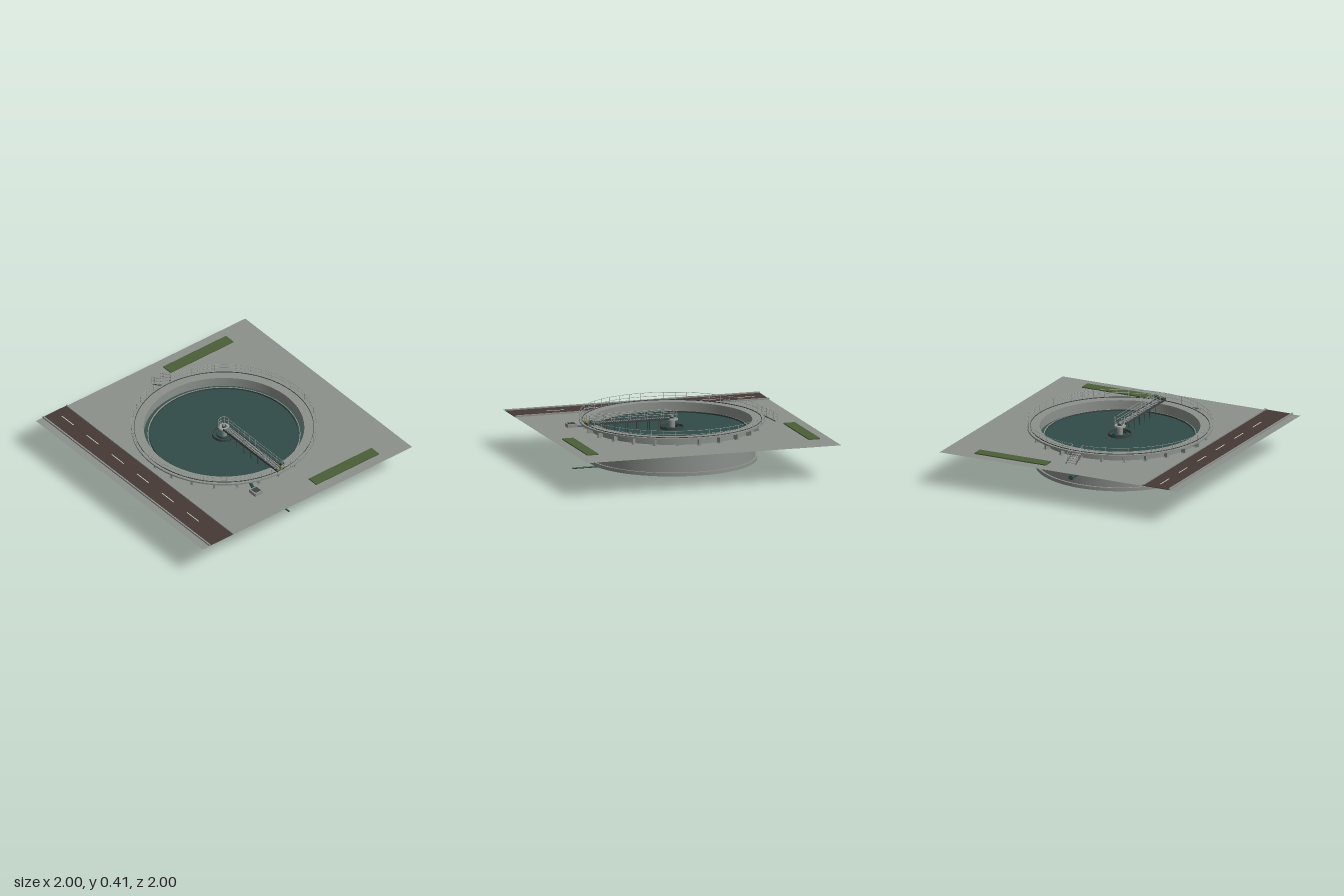
import * as THREE from 'three';
import { toCreasedNormals } from 'three/addons/utils/BufferGeometryUtils.js';

const mat = (name, color, double = false) => {
  const m = new THREE.MeshStandardMaterial({ color });
  m.name = name;
  if (double) m.side = THREE.DoubleSide;
  return m;
};

export function createModel() {
  const root = new THREE.Group();
  root.name = 'clarifierTank';
  const concrete = mat('concrete', 0x8c918c, true);
  const water = mat('water', 0x324c48);
  const launderWater = mat('launderWater', 0x39524d);
  const asphalt = mat('asphalt', 0x463935);
  const grass = mat('grass', 0x4c5f37);
  const steel = mat('steel', 0x9ca29f);
  const darkSteel = mat('darkSteel', 0x3c4442, true);
  const pipeTeal = mat('pipeTeal', 0x2c4f4b);
  const paint = mat('linePaint', 0xc8c8c0);
  const yellow = mat('yellowPaint', 0xa59a35);

  const add = (name, geo, m, parent = root) => {
    const mesh = new THREE.Mesh(geo, m);
    mesh.name = name;
    parent.add(mesh);
    return mesh;
  };
  const group = (name) => {
    const g = new THREE.Group();
    g.name = name;
    root.add(g);
    return g;
  };
  // Box given by its centre and size
  const box = (name, m, [x, y, z], [w, h, d], parent) => {
    const mesh = add(name, new THREE.BoxGeometry(w, h, d), m, parent);
    mesh.position.set(x, y, z);
    return mesh;
  };
  // Round bar between two points
  const bar = (name, m, a, b, r, parent, sides = 6) => {
    const p = new THREE.Vector3(...a), q = new THREE.Vector3(...b);
    const dir = q.clone().sub(p);
    const mesh = add(name, new THREE.CylinderGeometry(r, r, dir.length(), sides), m, parent);
    mesh.position.copy(p).add(q).multiplyScalar(0.5);
    mesh.quaternion.setFromUnitVectors(new THREE.Vector3(0, 1, 0), dir.normalize());
    return mesh;
  };
  const lathe = (name, pts, m, parent) => add(name, toCreasedNormals(new THREE.LatheGeometry(
    pts.map(([x, y]) => new THREE.Vector2(x, y)), 96), 0.15), m, parent);
  // Square-section ring
  const ring = (name, r0, r1, y0, y1, m, parent) =>
    lathe(name, [[r0, y0], [r1, y0], [r1, y1], [r0, y1], [r0, y0]], m, parent);

  // Site: ground sheet with the tank opening, grass, road
  const site = group('site');
  const sheet = new THREE.Shape([[-1, -1], [1, -1], [1, 1], [-1, 1]].map(p => new THREE.Vector2(...p)));
  sheet.holes.push(new THREE.Path().absarc(0, 0, 0.615, 0, Math.PI * 2, true));
  add('ground', new THREE.ShapeGeometry(sheet, 64).rotateX(-Math.PI / 2), concrete, site).position.y = 0.27;
  for (const s of [-1, 1]) box('grassStrip', grass, [s * 0.872, 0.275, -0.45], [0.09, 0.008, 0.6], site);
  box('road', asphalt, [0, 0.273, 0.82], [2, 0.004, 0.21], site);
  for (const z of [0.708, 0.932]) box('kerb', concrete, [0, 0.277, z], [2, 0.012, 0.012], site);
  for (let i = 0; i < 6; i++) box('laneDash', paint, [-0.85 + i * 0.3, 0.2765, 0.816], [0.14, 0.002, 0.007], site);

  // Tank: hopper, sloping floor, footing and wall in one profile
  const tank = group('tank');
  lathe('tankShell', [[0, 0], [0.03, 0], [0.075, 0.02], [0.635, 0.032], [0.635, 0.058], [0.62, 0.058],
    [0.62, 0.322], [0.6, 0.322], [0.6, 0.06], [0, 0.05]], concrete, tank);
  const disc = (name, r, y, m) =>
    add(name, new THREE.CircleGeometry(r, 96).rotateX(-Math.PI / 2), m, tank).position.y = y;
  disc('launderWater', 0.6, 0.26, launderWater);
  disc('waterSurface', 0.565, 0.264, water);
  ring('weirWall', 0.566, 0.57, 0.24, 0.272, steel, tank);
  ring('scumBaffle', 0.555, 0.558, 0.24, 0.275, darkSteel, tank);

  // Walkway on the rim with support legs
  const walkway = group('walkway');
  ring('walkwaySlab', 0.6, 0.693, 0.322, 0.334, concrete, walkway);
  ring('kickPlate', 0.669, 0.672, 0.334, 0.339, darkSteel, walkway);
  for (let i = 0; i < 24; i++) {
    const leg = new THREE.Group();
    leg.name = 'supportLeg';
    leg.rotation.y = i * Math.PI / 12;
    box('legPost', concrete, [0.643, 0.297, 0], [0.04, 0.05, 0.016], leg);
    box('legFoot', concrete, [0.643, 0.268, 0], [0.046, 0.008, 0.034], leg);
    walkway.add(leg);
  }

  // Ring handrail, open at the stair
  const railing = group('railing');
  const gap = 0.06, railR = 0.69;
  for (const y of [0.362, 0.39]) {
    add('handrail', new THREE.TorusGeometry(railR, 0.0018, 5, 120, Math.PI * 2 - 2 * gap)
      .rotateZ(gap - Math.PI).rotateX(Math.PI / 2), steel, railing).position.y = y;
  }
  for (let i = 0; i <= 48; i++) {
    const a = gap - Math.PI + i * (Math.PI * 2 - 2 * gap) / 48;
    const x = railR * Math.cos(a), z = railR * Math.sin(a);
    bar('railPost', steel, [x, 0.334, z], [x, 0.39, z], 0.0016, railing, 5);
  }

  // Stair down to the ground
  const stair = group('stair');
  for (const z of [-0.04, 0.04]) {
    bar('stringer', darkSteel, [-0.69, 0.33, z], [-0.8, 0.272, z], 0.004, stair);
    for (const h of [0.03, 0.058])
      bar('stairRail', steel, [-0.69, 0.333 + h, z], [-0.815, 0.272 + h, z], 0.0018, stair);
    for (const t of [0, 0.35, 0.7, 1]) {
      const x = -0.69 - 0.125 * t, y = 0.333 - 0.061 * t;
      bar('stairPost', steel, [x, y, z], [x, y + 0.058, z], 0.0016, stair);
    }
  }
  for (let i = 0; i < 5; i++)
    box('tread', concrete, [-0.708 - i * 0.02, 0.322 - i * 0.0105, 0], [0.018, 0.003, 0.078], stair);

  // Centre column, feed well and turntable
  const centre = group('centre');
  bar('column', concrete, [0, 0.02, 0], [0, 0.33, 0], 0.022, centre, 24);
  ring('feedWell', 0.083, 0.09, 0.22, 0.284, darkSteel, centre);
  ring('feedWellInner', 0.05, 0.055, 0.22, 0.28, pipeTeal, centre);
  ring('turntable', 0.012, 0.043, 0.328, 0.34, steel, centre);
  bar('driveHub', darkSteel, [0, 0.32, 0], [0, 0.352, 0], 0.018, centre, 20);
  bar('slipRing', steel, [0, 0.352, 0], [0, 0.366, 0], 0.009, centre, 16);
  for (const y of [0.372, 0.402])
    add('platformRail', new THREE.TorusGeometry(0.04, 0.0016, 5, 24, Math.PI)
      .rotateZ(Math.PI / 2).rotateX(Math.PI / 2), steel, centre).position.y = y;
  for (let i = 0; i < 5; i++) {
    const a = Math.PI / 2 + i * Math.PI / 4, x = 0.04 * Math.cos(a), z = 0.04 * Math.sin(a);
    bar('platformPost', steel, [x, 0.34, z], [x, 0.402, z], 0.0015, centre, 5);
  }

  // Rotating bridge with grating and rails
  const bridge = group('bridge');
  for (const z of [-0.03, 0.03]) {
    box('girder', darkSteel, [0.355, 0.343, z], [0.65, 0.016, 0.006], bridge);
    for (const y of [0.378, 0.404]) bar('bridgeRail', steel, [0.01, y, z], [0.66, y, z], 0.0017, bridge);
    for (let i = 0; i <= 10; i++)
      bar('bridgePost', steel, [0.01 + i * 0.065, 0.345, z], [0.01 + i * 0.065, 0.404, z], 0.0015, bridge, 5);
  }
  box('bridgeDeck', darkSteel, [0.345, 0.345, 0], [0.61, 0.003, 0.056], bridge);
  for (let i = 0; i < 40; i++)
    box('gratingBar', steel, [0.05 + i * 0.015, 0.3475, 0], [0.005, 0.002, 0.054], bridge);
  // Scraper hangers dropping into the water
  for (let i = 0; i < 6; i++)
    for (const z of [-0.025, 0.025])
      bar('hanger', darkSteel, [0.1 + i * 0.085, 0.336, z], [0.1 + i * 0.085, 0.255, z], 0.003, bridge);

  // End carriage: wheels, motor and gearbox on the rim
  box('endCarriage', darkSteel, [0.668, 0.352, 0], [0.03, 0.014, 0.07], bridge);
  for (const z of [-0.02, 0.02]) {
    bar('wheel', darkSteel, [0.67, 0.347, z - 0.006], [0.67, 0.347, z + 0.006], 0.013, bridge, 20);
    box('wheelGuard', yellow, [0.675, 0.362, z], [0.014, 0.008, 0.016], bridge);
  }
  box('gearbox', pipeTeal, [0.65, 0.365, -0.03], [0.022, 0.022, 0.02], bridge);
  bar('motor', pipeTeal, [0.65, 0.37, -0.052], [0.65, 0.37, -0.02], 0.009, bridge, 16);

  // Pipework
  const pipes = group('pipes');
  bar('inletPipe', pipeTeal, [-0.8, 0.163, 0], [-0.61, 0.163, 0], 0.013, pipes, 20);
  for (const x of [-0.795, -0.65, -0.625])
    bar('inletFlange', pipeTeal, [x - 0.004, 0.163, 0], [x + 0.004, 0.163, 0], 0.018, pipes, 20);
  bar('sludgePipe', pipeTeal, [0, 0.011, 0], [0.78, 0.011, 0], 0.006, pipes, 16);
  bar('outletStub', pipeTeal, [0.57, 0.267, 0.21], [0.71, 0.267, 0.26], 0.014, pipes, 20);
  bar('outletPipe', pipeTeal, [0.7, 0.235, 0.26], [0.85, 0.235, 0.26], 0.011, pipes, 20);

  // Outlet chamber with lid
  const chamber = group('outletChamber');
  box('chamberBody', concrete, [0.708, 0.271, 0.258], [0.074, 0.05, 0.074], chamber);
  box('chamberLid', darkSteel, [0.708, 0.297, 0.258], [0.05, 0.004, 0.05], chamber);
  return root;
}
